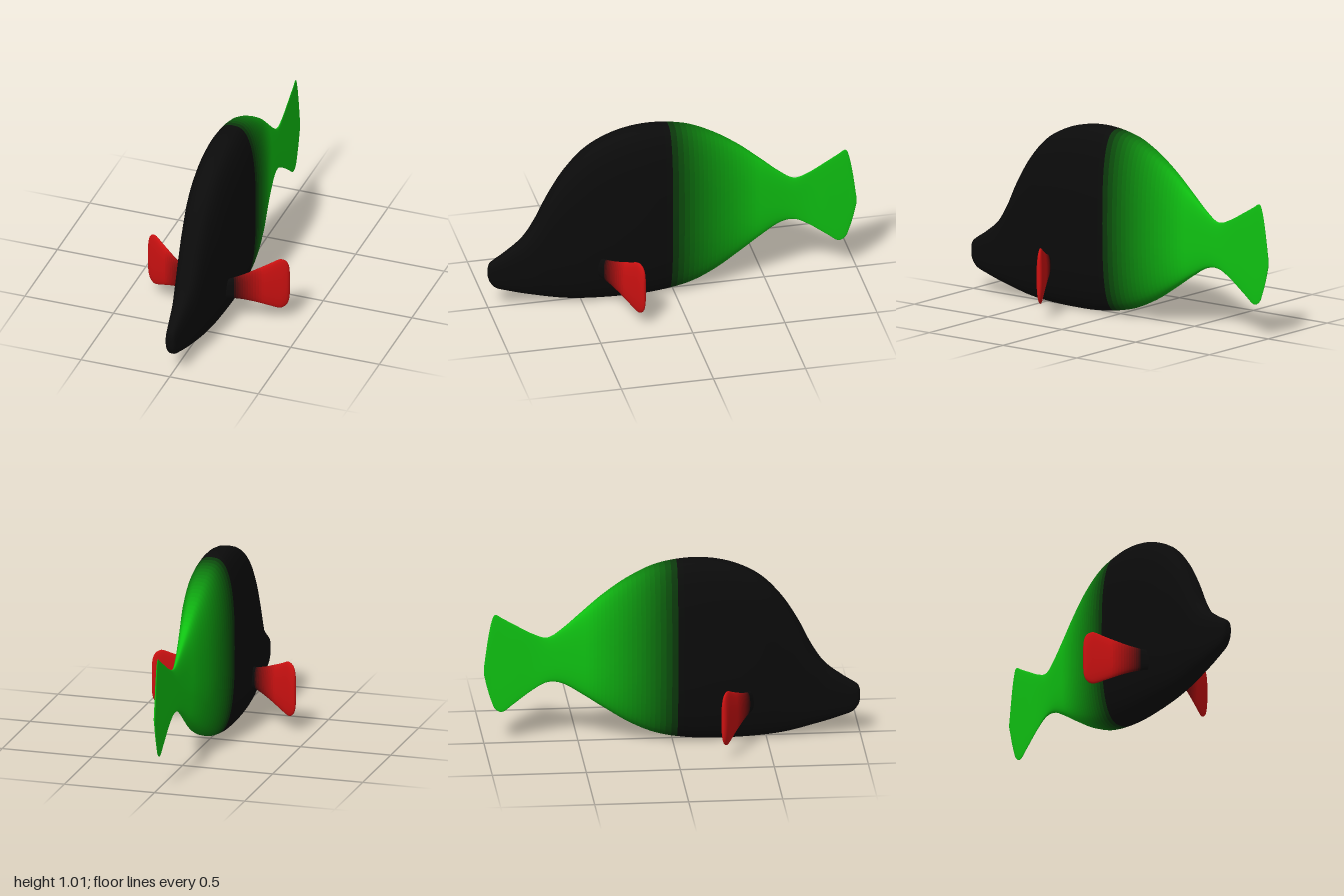
import * as THREE from 'three';

const BLACK = new THREE.Color(0x0b0b0b);
const GREEN = new THREE.Color(0x0fc212);
const RED = new THREE.Color(0xcc1111);

// Sections as [z, top y, bottom y, half width], listed from +z to -z
const BODY = [
  [1.0, 0.245, 0.19, 0.014], [0.99, 0.27, 0.16, 0.026], [0.96, 0.293, 0.125, 0.034],
  [0.9, 0.332, 0.103, 0.044], [0.81, 0.405, 0.076, 0.058], [0.74, 0.51, 0.058, 0.07],
  [0.67, 0.65, 0.04, 0.08], [0.58, 0.79, 0.022, 0.094], [0.46, 0.91, 0.01, 0.112],
  [0.3, 0.985, 0.004, 0.125], [0.12, 1.01, 0.008, 0.13], [-0.07, 0.985, 0.038, 0.122],
  [-0.22, 0.92, 0.1, 0.099], [-0.36, 0.828, 0.187, 0.066], [-0.48, 0.727, 0.268, 0.04],
  [-0.58, 0.64, 0.328, 0.022], [-0.66, 0.59, 0.338, 0.011], [-0.74, 0.612, 0.297, 0.005],
  [-0.84, 0.668, 0.222, 0.005], [-0.9, 0.703, 0.178, 0.005], [-0.94, 0.725, 0.195, 0.005],
  [-0.96, 0.685, 0.24, 0.005], [-0.98, 0.58, 0.305, 0.005], [-1.0, 0.43, 0.39, 0.004],
];
const FIN = [
  [0.345, 0.3, 0.165, 0.004], [0.341, 0.335, 0.13, 0.01], [0.33, 0.363, 0.102, 0.016],
  [0.31, 0.379, 0.086, 0.018], [0.285, 0.382, 0.083, 0.018], [0.232, 0.36, 0.104, 0.018],
  [0.175, 0.338, 0.128, 0.018], [0.116, 0.316, 0.15, 0.018], [0.065, 0.301, 0.165, 0.018],
  [0.02, 0.292, 0.173, 0.018], [-0.03, 0.287, 0.178, 0.018],
];

// Smooth skin through the sections, split into single-colour bands that share normals
function loft(name, sections, { sides, steps, power, colorAt }) {
  const curve = (pick) => new THREE.CatmullRomCurve3(sections.map(pick), false, 'catmullrom', 0.5);
  const heights = curve(([z, top, bottom]) => new THREE.Vector3(top, bottom, z));
  const widths = curve(([z, , , w]) => new THREE.Vector3(w, 0, z));
  const count = (sections.length - 1) * steps;
  const positions = [];
  const ringZ = [];
  const bend = (v) => Math.sign(v) * Math.abs(v) ** (2 / power);

  for (let i = 0; i <= count; i++) {
    const { x: top, y: bottom, z } = heights.getPoint(i / count);
    const w = widths.getPoint(i / count).x;
    ringZ.push(z);
    for (let j = 0; j < sides; j++) {
      const a = (j / sides) * Math.PI * 2;
      positions.push(w * bend(Math.cos(a)), (top + bottom) / 2 + ((top - bottom) / 2) * bend(Math.sin(a)), z);
    }
  }
  const first = positions.length / 3;
  for (const [z, top, bottom] of [sections[0], sections.at(-1)]) positions.push(0, (top + bottom) / 2, z);

  // Triangles gathered by colour
  const bands = new Map();
  for (let i = 0; i < count; i++) {
    const color = colorAt((ringZ[i] + ringZ[i + 1]) / 2);
    const key = color.getHex();
    if (!bands.has(key)) bands.set(key, { color, index: [] });
    const { index } = bands.get(key);
    for (let j = 0; j < sides; j++) {
      const k = (j + 1) % sides;
      const a = i * sides + j, b = i * sides + k;
      const c = a + sides, d = b + sides;
      index.push(a, c, b, b, c, d);
      if (i === 0) index.push(first, a, b);
      if (i === count - 1) index.push(first + 1, d, c);
    }
  }

  const skin = new THREE.BufferGeometry();
  skin.setAttribute('position', new THREE.Float32BufferAttribute(positions, 3));
  skin.setIndex([...bands.values()].flatMap((band) => band.index));
  skin.computeVertexNormals();

  const group = new THREE.Group();
  group.name = name;
  for (const { color, index } of bands.values()) {
    const geometry = skin.clone().setIndex(index).toNonIndexed();
    const mesh = new THREE.Mesh(geometry, new THREE.MeshStandardMaterial({ color }));
    mesh.name = `${name}Band`;
    group.add(mesh);
  }
  return group;
}

// Colour fading between two z positions
const fade = (from, to, z0, z1) => (z) =>
  from.clone().lerp(to, THREE.MathUtils.clamp((z - z0) / (z1 - z0), 0, 1));

export function createModel() {
  const model = new THREE.Group();
  model.name = 'fish';

  // Body and tail in one skin, black head fading to a green tail
  model.add(loft('bodyAndTail', BODY, {
    sides: 48, steps: 6, power: 2.8, colorAt: fade(BLACK, GREEN, 0.04, -0.46),
  }));

  // Swept-back side fins, black root fading to a red tip
  for (const [name, side] of [['leftFin', 1], ['rightFin', -1]]) {
    const fin = loft(name, FIN, {
      sides: 32, steps: 4, power: 2.2, colorAt: fade(BLACK, RED, 0.04, 0.2),
    });
    fin.position.set(side * 0.1, 0, 0.41);
    fin.rotation.y = side * 2.1;
    model.add(fin);
  }
  return model;
}
